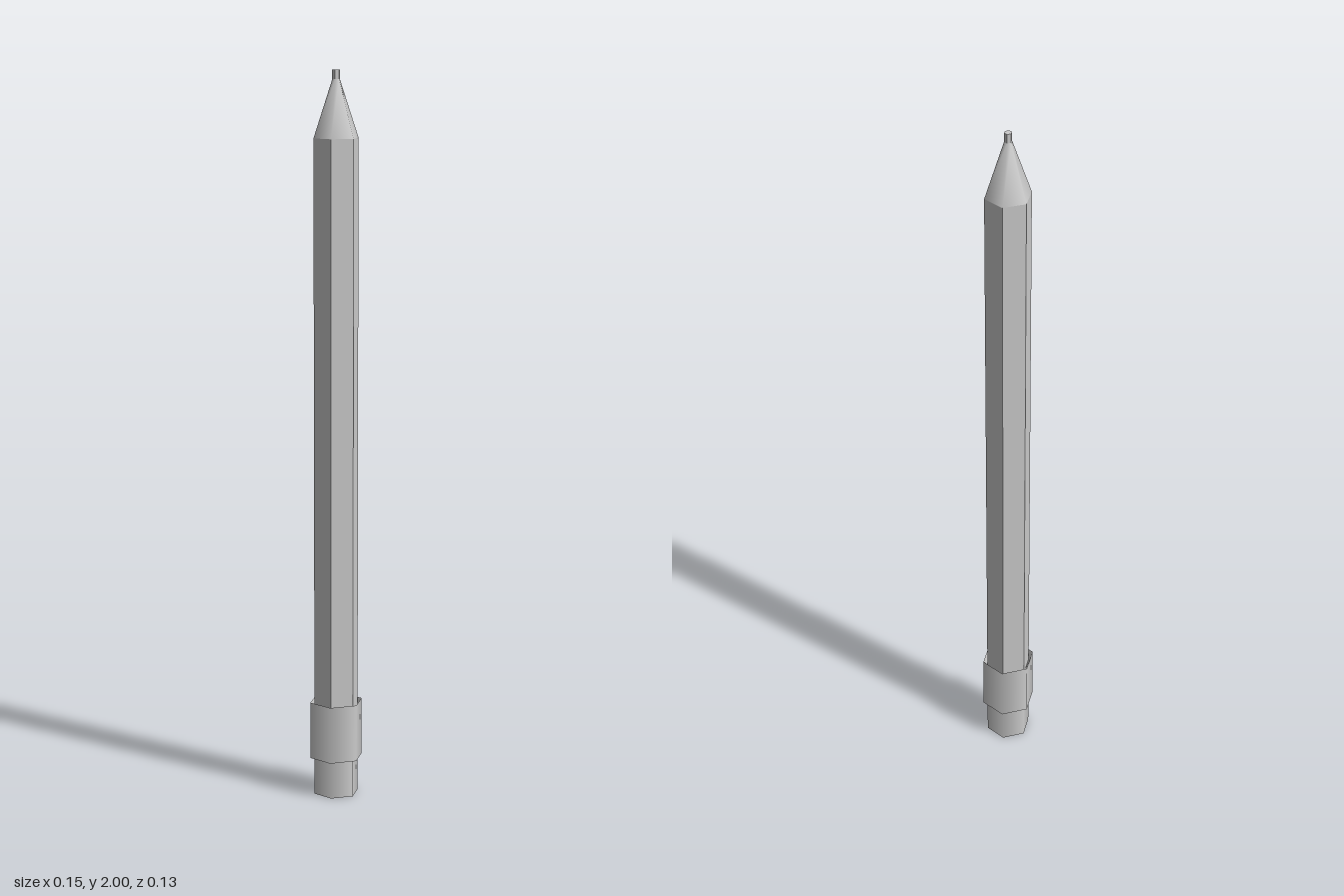
import * as THREE from 'three';

const SIDES = 6;

export function createModel() {
  const pencil = new THREE.Group();
  pencil.name = 'pencil';

  const smooth = new THREE.MeshStandardMaterial({ color: 0xcccccc, side: THREE.DoubleSide });
  const faceted = new THREE.MeshStandardMaterial({ color: 0xcccccc, flatShading: true });

  // Six-sided section between two heights, with corners on the x axis
  function section(name, y0, y1, r0, r1, material, open = false) {
    const geometry = new THREE.CylinderGeometry(r1, r0, y1 - y0, SIDES, 1, open, Math.PI / 6);
    const mesh = new THREE.Mesh(geometry, material);
    mesh.name = name;
    mesh.position.y = (y0 + y1) / 2;
    pencil.add(mesh);
  }

  const body = 0.063, band = 0.075, lead = 0.0107;

  section('eraser', 0, 0.105, body, body, smooth);
  section('barrel', 0.105, 1.82, body, body, faceted);
  section('sharpenedCone', 1.82, 1.975, body, lead, smooth, true);
  section('leadTip', 1.975, 2, lead, lead, faceted);

  // Metal band: outer wall, flat lower rim and sloping inner lip
  section('ferruleWall', 0.105, 0.265, band, band, smooth, true);
  section('ferruleLip', 0.24, 0.265, body, band, smooth, true);

  const rim = new THREE.Mesh(new THREE.RingGeometry(body, band, SIDES), smooth);
  rim.name = 'ferruleLowerRim';
  rim.rotation.x = Math.PI / 2;
  rim.position.y = 0.105;
  pencil.add(rim);

  return pencil;
}
